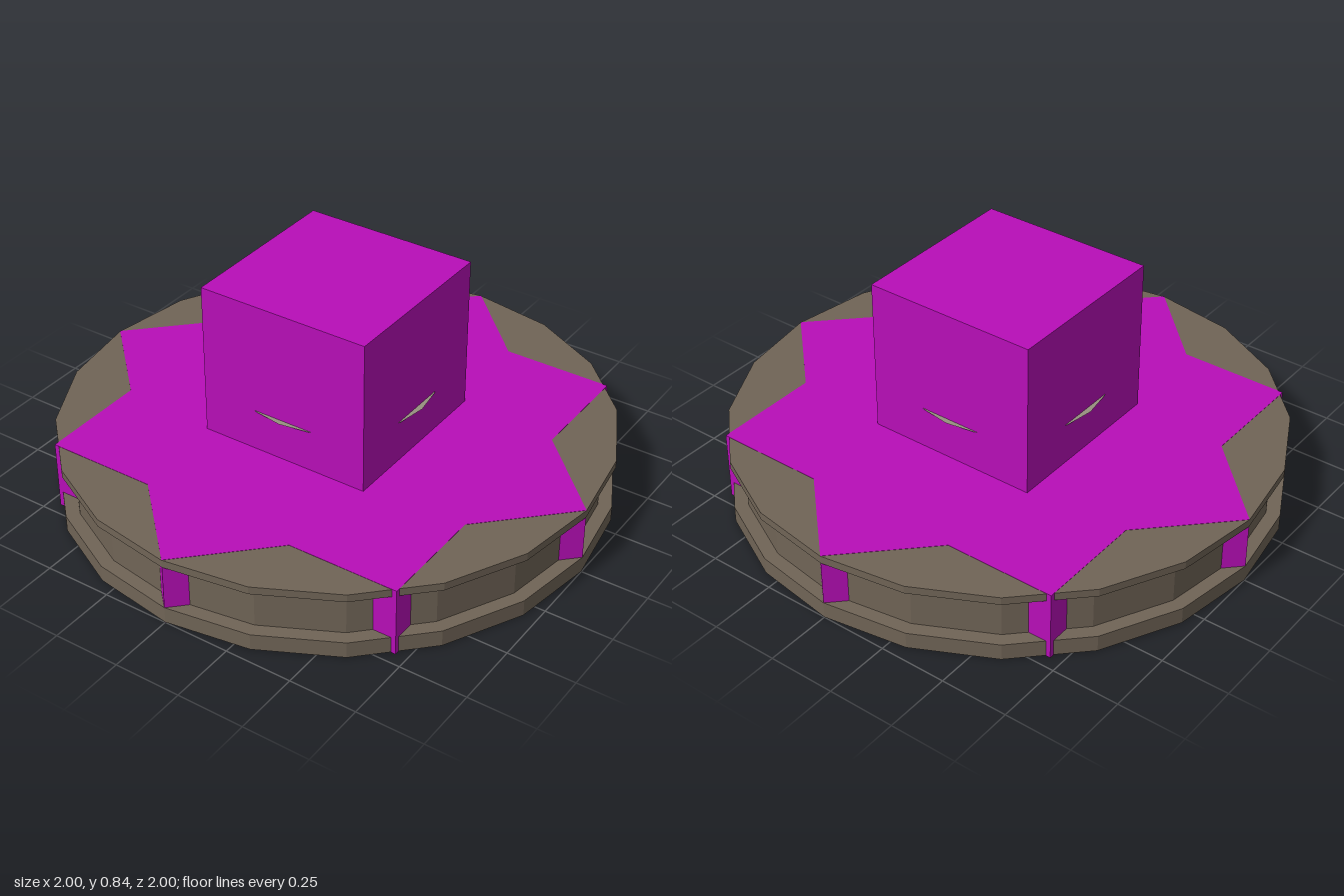
import * as THREE from 'three';

const SIDES = 20;

function material(color) {
  return new THREE.MeshStandardMaterial({ color, flatShading: true });
}

function lathe(name, profile, mat) {
  const points = profile.map(([r, y]) => new THREE.Vector2(r, y));
  const mesh = new THREE.Mesh(new THREE.LatheGeometry(points, SIDES), mat);
  mesh.name = name;
  return mesh;
}

function box(name, width, bottom, top, mat) {
  const mesh = new THREE.Mesh(new THREE.BoxGeometry(width, top - bottom, width), mat);
  mesh.position.y = (bottom + top) / 2;
  mesh.name = name;
  return mesh;
}

export function createModel() {
  const model = new THREE.Group();
  model.name = 'pedestal';
  const stone = material(0x706456);
  const magenta = material(0xb80eb8);
  const pale = material(0x989080);

  // Round plinth with a recessed band around its side
  model.add(lathe('plinth', [
    [0, 0.001], [1, 0.001], [1, 0.062], [0.95, 0.062],
    [0.95, 0.21], [1, 0.23], [1, 0.259], [0, 0.259],
  ], stone));

  // Two crossed square slabs whose corners fill the band as eight posts
  for (let i = 0; i < 2; i++) {
    const slab = box('cornerSlab' + (i + 1), Math.SQRT2, 0, 0.26, magenta);
    slab.rotation.y = i * Math.PI / 4;
    model.add(slab);
  }

  // Shallow dish whose rim just breaks through the block faces
  model.add(lathe('dish', [[0, 0.26], [0.11, 0.26], [0.352, 0.418], [0, 0.418]], pale));

  // Central block
  model.add(box('block', 0.66, 0.17, 0.835, magenta));

  return model;
}
